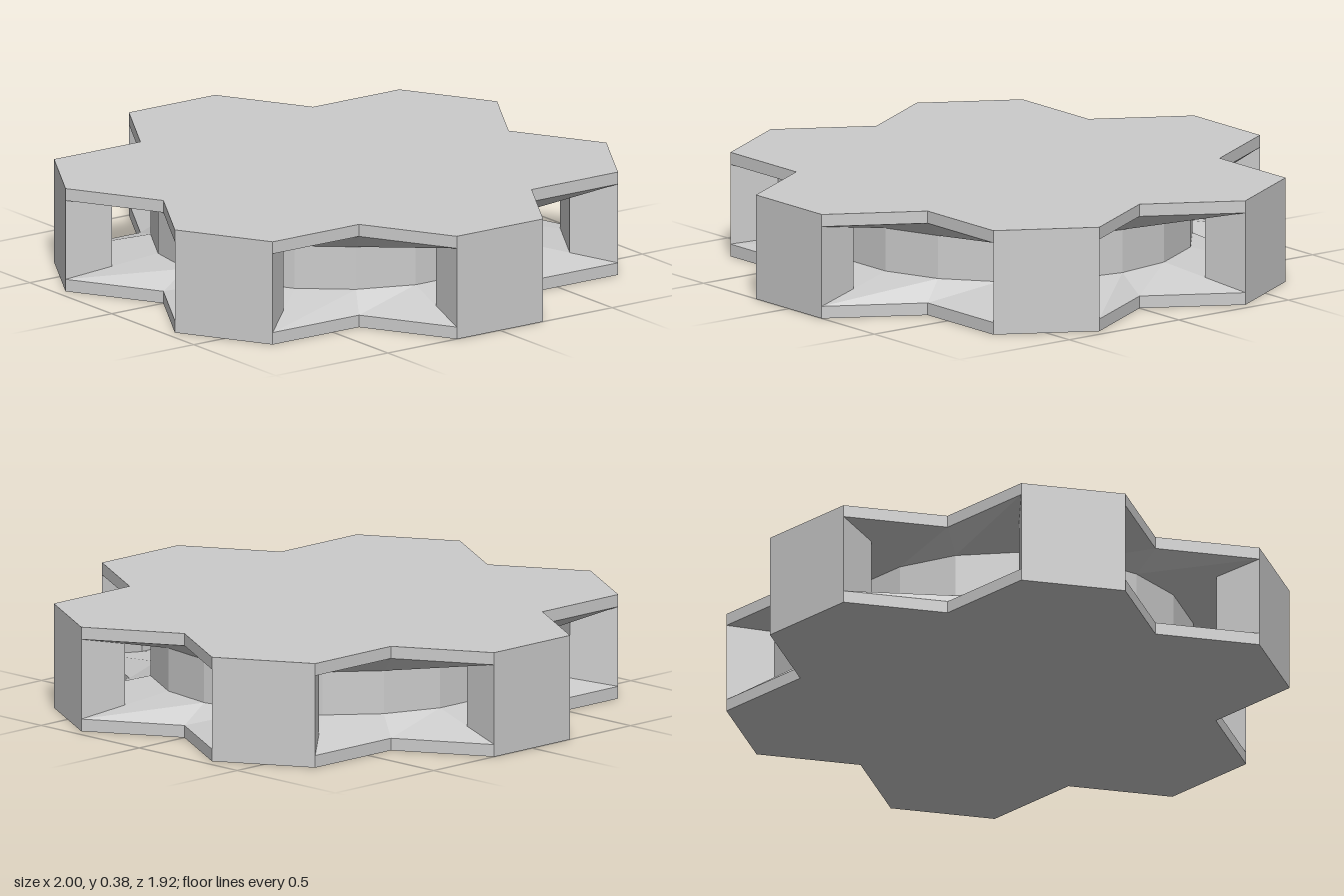
import * as THREE from 'three';

const HEX = 2 / (3 * Math.sqrt(3));  // side of one hexagonal cell
const HEIGHT = HEX;
const LIP = 0.045;                   // thickness of the plates at the rim
const CORE_Y = 0.113;                // height where the sloped plates meet the core
const CORE_R = 0.67;
const CORNER_R = Math.hypot(1, HEX / 2);
const CORNER_A = Math.atan(HEX / 2); // half the angle covered by one outer wall

const polar = (r, a, y) => new THREE.Vector3(r * Math.cos(a), y, r * Math.sin(a));

// Joins closed loops of points, listed from top to bottom, into a faceted skin
function loft(loops) {
  const points = [];
  const tri = (...p) => {
    if (!p[0].equals(p[1]) && !p[1].equals(p[2]) && !p[2].equals(p[0])) points.push(...p);
  };
  for (let k = 0; k + 1 < loops.length; k++) {
    const upper = loops[k], lower = loops[k + 1], n = upper.length;
    for (let i = 0; i < n; i++) {
      const j = (i + 1) % n;
      tri(upper[i], upper[j], lower[j]);
      tri(upper[i], lower[j], lower[i]);
    }
  }
  const geometry = new THREE.BufferGeometry().setFromPoints(points);
  geometry.computeVertexNormals();
  return geometry;
}

export function createModel() {
  const model = new THREE.Group();
  model.name = 'hexClusterSpool';
  const material = new THREE.MeshStandardMaterial({ color: 0xcccccc, flatShading: true });
  const add = (name, geometry) => {
    const mesh = new THREE.Mesh(geometry, material);
    mesh.name = name;
    model.add(mesh);
    return mesh;
  };

  // Outline of seven joined hexagons: two wall corners and a notch per sixth
  const rim = [];
  for (let k = 0; k < 6; k++) {
    const a = k * Math.PI / 3;
    rim.push([CORNER_R, a - CORNER_A], [CORNER_R, a + CORNER_A], [2 * HEX, a + Math.PI / 6]);
  }
  const outline = (y) => rim.map(([r, a]) => polar(r, a, y));
  const core = (y) => rim.map(([, a]) => polar(CORE_R, a, y));
  const centre = (y) => rim.map(() => new THREE.Vector3(0, y, 0));

  // Top and bottom plates with sloped inner faces, joined by the core
  add('platesAndCore', loft([
    centre(HEIGHT), outline(HEIGHT), outline(HEIGHT - LIP), core(HEIGHT - CORE_Y),
    core(CORE_Y), outline(LIP), outline(0), centre(0),
  ]));

  // Six outer wall blocks, tapering halfway toward the core
  const wallLoop = (rimY, coreY) => {
    const edge = (side) => polar(CORNER_R, side * CORNER_A, rimY);
    const inner = (side) => edge(side).lerp(polar(CORE_R, side * CORNER_A, coreY), 0.5);
    return [edge(-1), edge(1), inner(1), inner(-1)];
  };
  const wall = loft([wallLoop(HEIGHT - LIP, HEIGHT - CORE_Y), wallLoop(LIP, CORE_Y)]);
  for (let k = 0; k < 6; k++) add('outerWall' + (k + 1), wall).rotation.y = k * Math.PI / 3;

  return model;
}
